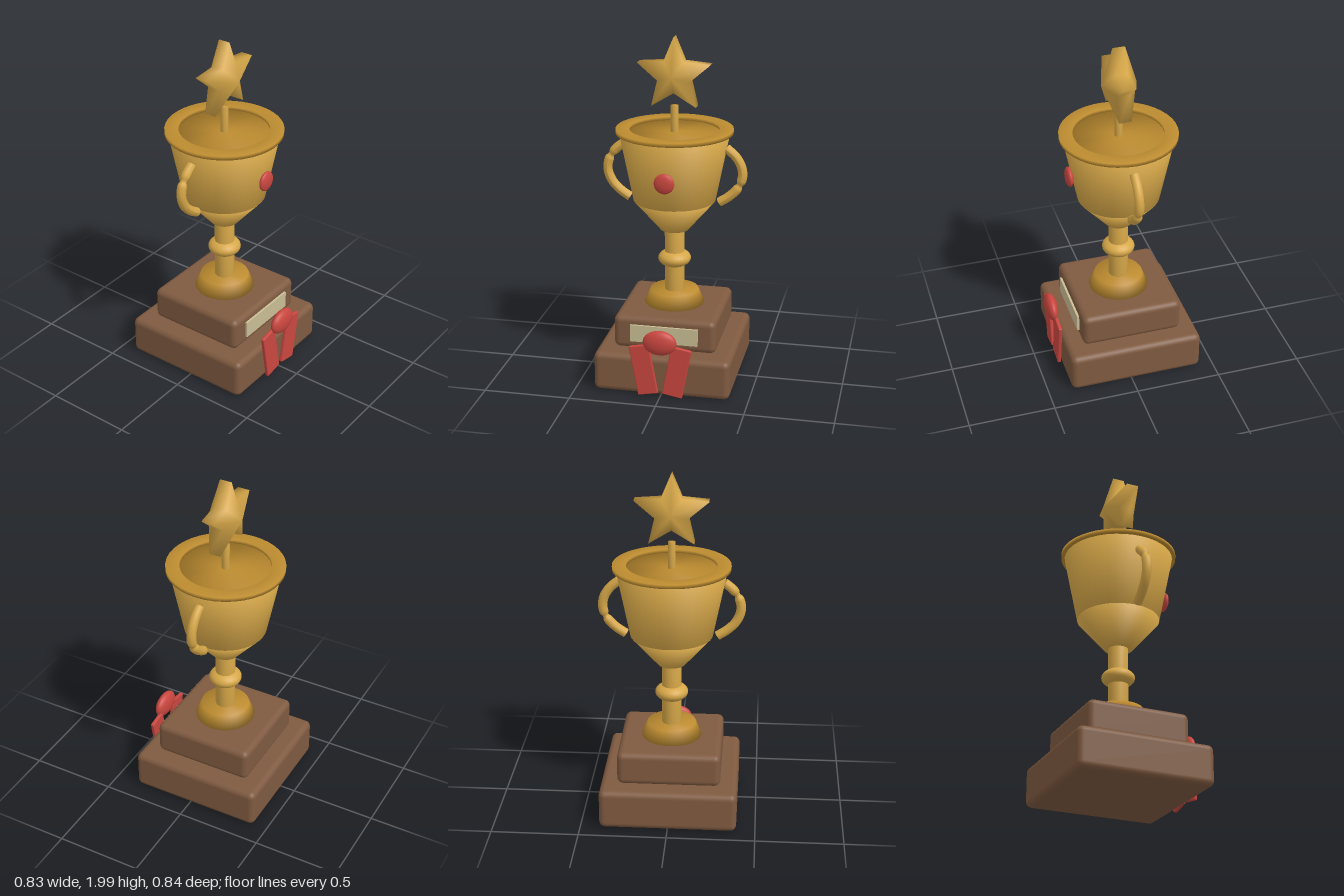
import * as THREE from 'three';
import { mergeVertices } from 'three/addons/utils/BufferGeometryUtils.js';
import { RoundedBoxGeometry } from 'three/addons/geometries/RoundedBoxGeometry.js';

const CUP_Z = -0.03; // depth of the cup's vertical axis

function material(name, color) {
  const m = new THREE.MeshStandardMaterial({ color });
  m.name = name;
  return m;
}

// Weld the corners so that shading rolls softly over the edges
function soften(geometry) {
  geometry.deleteAttribute('normal');
  geometry.deleteAttribute('uv');
  const welded = mergeVertices(geometry, 1e-4);
  welded.computeVertexNormals();
  return welded;
}

// Star prism with raised centre points on both faces
function starGeometry(outer, inner, halfEdge, halfCentre) {
  const pos = [0, 0, halfCentre, 0, 0, -halfCentre];
  const index = [];
  for (let i = 0; i < 10; i++) {
    const a = Math.PI / 2 + (i * Math.PI) / 5;
    const r = i % 2 ? inner : outer;
    const x = r * Math.cos(a), y = r * Math.sin(a);
    pos.push(x, y, halfEdge, x, y, -halfEdge);
    const f = 2 + i * 2, b = f + 1;
    const nf = 2 + ((i + 1) % 10) * 2, nb = nf + 1;
    index.push(0, f, nf, 1, nb, b, f, b, nb, f, nb, nf);
  }
  const g = new THREE.BufferGeometry();
  g.setAttribute('position', new THREE.Float32BufferAttribute(pos, 3));
  g.setIndex(index);
  g.computeVertexNormals();
  return g;
}

export function createModel() {
  const model = new THREE.Group();
  model.name = 'trophy';
  const gold = material('gold', 0xd6a748);
  const deepGold = material('deep gold', 0xbd8c30);
  const wood = material('wood', 0x7f5a40);
  const red = material('red', 0xc9463f);
  const cream = material('cream', 0xc9bd94);

  function add(name, geometry, mat, x, y, z, parent = model) {
    const mesh = new THREE.Mesh(geometry, mat);
    mesh.name = name;
    mesh.position.set(x, y, z);
    parent.add(mesh);
    return mesh;
  }
  // Turned part between two heights on the cup axis
  function turned(name, rBottom, rTop, y0, y1, mat) {
    const g = soften(new THREE.CylinderGeometry(rTop, rBottom, y1 - y0, 40));
    return add(name, g, mat, 0, (y0 + y1) / 2, CUP_Z);
  }
  function ellipsoid(name, rx, ry, rz, mat, x, y, z, parent) {
    const g = new THREE.SphereGeometry(1, 28, 18).scale(rx, ry, rz);
    return add(name, g, mat, x, y, z, parent);
  }

  // Wooden plinth
  add('lowerPlinth', new RoundedBoxGeometry(0.785, 0.232, 0.785, 3, 0.035), wood, 0, 0.123, CUP_Z);
  add('upperPlinth', new RoundedBoxGeometry(0.59, 0.195, 0.59, 3, 0.035), wood, 0, 0.3375, CUP_Z);
  add('plaque', new THREE.BoxGeometry(0.39, 0.1, 0.03), cream, 0, 0.34, 0.263);

  // Foot, stem and knob
  turned('foot', 0.175, 0.14, 0.43, 0.515, deepGold);
  turned('stem', 0.057, 0.057, 0.5, 0.89, gold);
  ellipsoid('stemKnob', 0.095, 0.053, 0.095, gold, 0, 0.704, CUP_Z);

  // Cup
  turned('lowerBowl', 0.08, 0.235, 0.88, 1.06, gold);
  turned('bowl', 0.235, 0.314, 1.06, 1.458, [gold, deepGold, gold]);
  const ring = [[0.255, 1.455], [0.333, 1.455], [0.333, 1.478], [0.255, 1.478], [0.255, 1.455]];
  add('rim', soften(new THREE.LatheGeometry(ring.map(([r, y]) => new THREE.Vector2(r, y)), 40)),
    deepGold, 0, 0, CUP_Z);
  ellipsoid('gem', 0.058, 0.058, 0.022, red, 0, 1.235, 0.258);

  // Handles, each with a narrow waist at its own height
  const path = [[0.295, 1.378], [0.35, 1.33], [0.384, 1.27], [0.389, 1.21], [0.363, 1.145], [0.315, 1.095], [0.26, 1.058]];
  for (const [name, side, waistY] of [['leftHandle', 1, 1.165], ['rightHandle', -1, 1.305]]) {
    const handle = new THREE.Group();
    handle.name = name;
    model.add(handle);
    const curve = new THREE.CatmullRomCurve3(path.map(([x, y]) => new THREE.Vector3(side * x, y, 0)));
    const rings = 40, sides = 12, radius = 0.027;
    const g = new THREE.TubeGeometry(curve, rings, radius, sides);
    const p = g.attributes.position, v = new THREE.Vector3();
    for (let i = 0; i <= rings; i++) {
      const c = curve.getPointAt(i / rings);
      const s = 1 - 0.4 * Math.exp(-(((c.y - waistY) / 0.012) ** 2));
      for (let j = 0; j <= sides; j++) {
        const k = i * (sides + 1) + j;
        v.fromBufferAttribute(p, k).sub(c).multiplyScalar(s).add(c);
        p.setXYZ(k, v.x, v.y, v.z);
      }
    }
    g.computeVertexNormals();
    add('handleTube', g, gold, 0, 0, CUP_Z, handle);
    // Closed ends
    for (const t of [0, 1]) {
      const c = curve.getPointAt(t), d = curve.getTangentAt(t).multiplyScalar(t ? 1 : -1);
      const cap = add('handleEnd', new THREE.CircleGeometry(radius, sides), gold, c.x, c.y, CUP_Z, handle);
      cap.quaternion.setFromUnitVectors(new THREE.Vector3(0, 0, 1), d);
    }
  }

  // Star on its post
  turned('starPost', 0.022, 0.022, 1.44, 1.61, gold);
  add('star', starGeometry(0.217, 0.098, 0.035, 0.1), gold, 0, 1.783, CUP_Z);

  // Ribbon with two hanging tails
  const ribbon = new THREE.Group();
  ribbon.name = 'ribbon';
  model.add(ribbon);
  ellipsoid('ribbonKnot', 0.097, 0.073, 0.037, red, 0, 0.342, 0.385, ribbon);
  for (const side of [-1, 1]) {
    const g = new RoundedBoxGeometry(0.117, 0.3, 0.022, 2, 0.006);
    add(side > 0 ? 'leftTail' : 'rightTail', g, red, side * 0.096, 0.167, 0.374, ribbon)
      .rotation.z = -side * 0.18;
  }
  return model;
}
